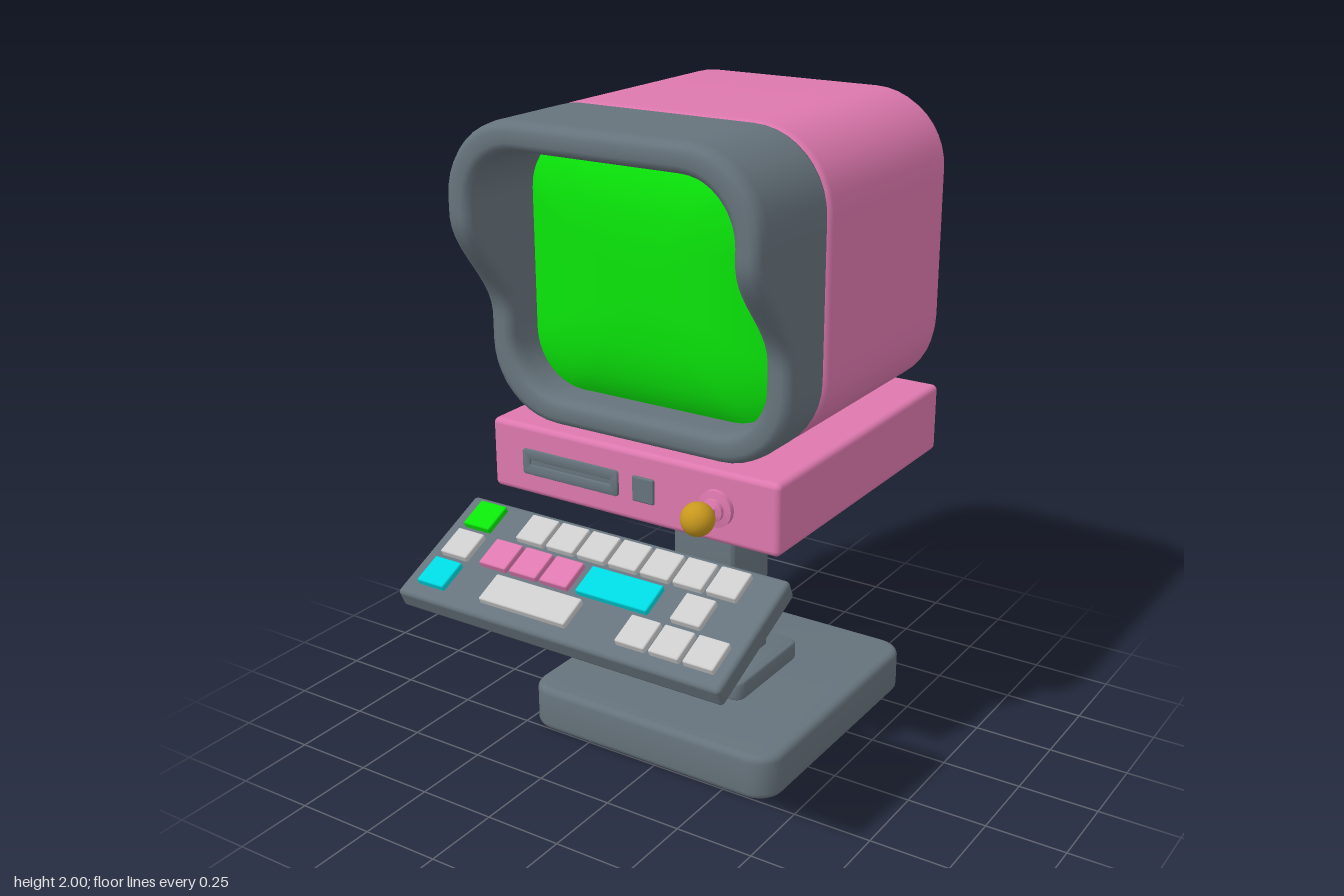
import * as THREE from 'three';
import { toCreasedNormals } from 'three/addons/utils/BufferGeometryUtils.js';
import { RoundedBoxGeometry } from 'three/addons/geometries/RoundedBoxGeometry.js';

const mat = (color) => new THREE.MeshStandardMaterial({ color });
const PINK = mat(0xdd78ae), GREY = mat(0x66737c), GREEN = mat(0x0ae60a);
const CYAN = mat(0x00d8e0), GOLD = mat(0xc8981e), KEY = mat(0xcccccc);
const CX = -0.03;                       // centre line of the machine
const HW = 0.513, HH = 0.463, CY = 1.537, R = 0.23; // casing half sizes, centre height, corner radius

// Evenly divided rounded rectangle, anticlockwise seen from the front
function loop(hw, hh, r, corner = 10, side = 16) {
  const pts = [];
  const centres = [[1, 1], [-1, 1], [-1, -1], [1, -1]];
  centres.forEach(([sx, sy], q) => {
    const arc = [];
    for (let i = 0; i <= corner; i++) {
      const a = (q + i / corner) * Math.PI / 2;
      arc.push(new THREE.Vector2(sx * (hw - r) + r * Math.cos(a), sy * (hh - r) + r * Math.sin(a)));
    }
    pts.push(...arc);
    const [nx, ny] = centres[(q + 1) % 4], a = (q + 1) * Math.PI / 2;
    const next = new THREE.Vector2(nx * (hw - r) + r * Math.cos(a), ny * (hh - r) + r * Math.sin(a));
    for (let i = 1; i < side; i++) pts.push(arc[corner].clone().lerp(next, i / side));
  });
  return pts;
}
const casingLoop = (inset) => loop(HW - inset, HH - inset, Math.max(R - inset * 0.75, 0.05));

// Skin over rings of equal point count
function loft(rings) {
  const n = rings[0].length, pos = [], idx = [];
  rings.forEach((ring) => ring.forEach((p) => pos.push(p.x, p.y, p.z)));
  for (let k = 0; k < rings.length - 1; k++) {
    for (let i = 0; i < n; i++) {
      const a = k * n + i, b = k * n + (i + 1) % n;
      idx.push(a, b, b + n, a, b + n, a + n);
    }
  }
  const g = new THREE.BufferGeometry();
  g.setAttribute('position', new THREE.Float32BufferAttribute(pos, 3));
  g.setIndex(idx);
  g.computeVertexNormals();
  return g;
}

function add(parent, name, geometry, material, x = 0, y = 0, z = 0) {
  const m = new THREE.Mesh(geometry, material);
  m.name = name;
  m.position.set(x, y, z);
  parent.add(m);
  return m;
}

// Extruded rounded rectangle with optional holes [x, y, w, h, r]
function plate(w, h, r, depth, bevel, holes = []) {
  const shape = new THREE.Shape(loop(w / 2 - bevel, h / 2 - bevel, r, 6, 1));
  holes.forEach(([x, y, hw, hh, hr]) => shape.holes.push(
    new THREE.Path(loop(hw / 2, hh / 2, hr, 5, 1).map((p) => new THREE.Vector2(p.x + x, p.y + y)).reverse())));
  const g = new THREE.ExtrudeGeometry(shape, {
    depth: depth - 2 * bevel, bevelEnabled: bevel > 0, bevelSize: bevel, bevelThickness: bevel, bevelSegments: 4,
  });
  g.translate(0, 0, bevel);
  return toCreasedNormals(g, 0.6);
}

function buildMonitor() {
  const g = new THREE.Group();
  g.name = 'monitor';
  g.position.set(CX, CY, 0);

  // Casing with domed back: [inset, z]
  const body = [[0.213, -0.73], [0.15, -0.717], [0.09, -0.695], [0.045, -0.668], [0.015, -0.64], [0, -0.6],
    [0, -0.3], [0, 0.08], [0.006, 0.095], [0.02, 0.102], [0.08, 0.102]];
  add(g, 'casing', loft(body.map(([inset, z]) =>
    casingLoop(inset).map((p) => new THREE.Vector3(p.x, p.y, z)))), PINK);

  // Back panel with three vent slots and their floor
  const slots = [0.19, 0.095, 0].map((y) => [0, y, 0.55, 0.055, 0.02]);
  add(g, 'ventPanel', plate(0.6, 0.5, 0.07, 0.03, 0, slots), PINK, 0, 0, -0.73);
  add(g, 'ventFloor', new THREE.BoxGeometry(0.57, 0.3, 0.01), PINK, 0, 0.095, -0.7);

  // Latches with a recessed middle
  for (const s of [-1, 1]) {
    add(g, 'latchFrame', plate(0.19, 0.13, 0.012, 0.1, 0.01, [[0, 0, 0.11, 0.06, 0.008]]), PINK,
      0.009 + s * 0.278, -0.162, -0.755);
    add(g, 'latchPlate', new THREE.BoxGeometry(0.15, 0.09, 0.05), PINK, 0.009 + s * 0.278, -0.162, -0.71);
  }

  // Hood: deep at the top, sweeping back to a shallow lower lip
  const front = (y) => 0.30 + 0.17 * THREE.MathUtils.smoothstep(y + CY, 1.385, 1.72);
  const outer = casingLoop(0);
  const hoodRing = (inset, zOf) => casingLoop(inset).map((p, i) => new THREE.Vector3(p.x, p.y, zOf(outer[i].y)));
  const rings = [[0.08, 0.106], [0.012, 0.106], [0.003, 0.112], [0, 0.125]].map(([i, z]) => hoodRing(i, () => z));
  [[0, 0.05], [0.003, 0.025], [0.012, 0.008], [0.028, 0], [0.058, 0], [0.074, 0.008], [0.082, 0.025], [0.085, 0.05]]
    .forEach(([i, d]) => rings.push(hoodRing(i, (y) => front(y) - d)));
  rings.push(hoodRing(0.085, () => 0.15));
  add(g, 'hood', loft(rings), GREY);

  // Bulging screen
  const glass = [1, 0.97, 0.93, 0.87, 0.78, 0.65, 0.5, 0.3, 0.12, 0.001];
  add(g, 'screen', loft(glass.map((s) => casingLoop(0.084).map((p) =>
    new THREE.Vector3(p.x * s, p.y * s, 0.175 + 0.07 * (1 - s ** 4))))), GREEN);
  return g;
}

function buildBase() {
  const g = new THREE.Group();
  g.name = 'base';
  add(g, 'consoleBox', new RoundedBoxGeometry(1, 0.22, 1.004, 3, 0.018), PINK, -0.034, 0.955, -0.188);

  // Disk drive and button on the console front
  add(g, 'driveFrame', plate(0.347, 0.08, 0.006, 0.025, 0.004, [[0, 0, 0.3, 0.024, 0.008]]), GREY, -0.244, 0.952, 0.297);
  add(g, 'driveSlotFloor', new THREE.BoxGeometry(0.32, 0.04, 0.01), GREY, -0.244, 0.952, 0.311);
  add(g, 'button', new RoundedBoxGeometry(0.074, 0.078, 0.03, 2, 0.005), GREY, 0.017, 0.952, 0.307);

  // Joystick: stepped collar, stalk and ball
  const profile = [[0, 0], [0.055, 0], [0.055, 0.018], [0.034, 0.022], [0.034, 0.034], [0.017, 0.04], [0.017, 0.09]];
  const collar = new THREE.LatheGeometry(profile.map((p) => new THREE.Vector2(...p)), 32);
  add(g, 'stickCollar', toCreasedNormals(collar, 0.6), PINK, 0.266, 0.955, 0.312).rotation.x = Math.PI / 2;
  add(g, 'stickBall', new THREE.SphereGeometry(0.049, 32, 20), GOLD, 0.266, 0.957, 0.415);

  // Stand
  const slab = (name, size, r, y0, y1, bevel) =>
    add(g, name, plate(size, size, r, y1 - y0, bevel), GREY, -0.032, y0, -0.19).rotation.x = -Math.PI / 2;
  slab('foot', 0.9, 0.06, 0, 0.147, 0.022);
  slab('plinth', 0.372, 0.02, 0.14, 0.207, 0.012);
  slab('post', 0.224, 0.012, 0.19, 0.86, 0.004);
  return g;
}

function buildKeyboard() {
  const g = new THREE.Group();
  g.name = 'keyboard';
  g.position.set(0, 0.72, 0.56);
  g.rotation.x = 0.433;
  add(g, 'keyboardTray', new RoundedBoxGeometry(1.098, 0.066, 0.405, 3, 0.014), GREY);

  // Key rows: [left edge, width, material]
  const W = 0.096, run = (x, n, m) => Array.from({ length: n }, (_, i) => [x + i * 0.109, W, m]);
  const rows = [
    [[-0.5, W, GREEN], ...run(-0.304, 7, KEY)],
    [[-0.5, W, KEY], ...run(-0.356, 3, PINK), [-0.012, 0.24, CYAN], [0.304, W, KEY]],
    [[-0.5, W, CYAN], [-0.272, 0.3, KEY], ...run(0.196, 3, KEY)],
  ];
  rows.forEach((row, r) => row.forEach(([x, w, m]) =>
    add(g, 'key', new RoundedBoxGeometry(w, 0.03, 0.098, 2, 0.005), m, x + w / 2, 0.037, -0.128 + r * 0.118)));
  return g;
}

export function createModel() {
  const model = new THREE.Group();
  model.name = 'retroTerminal';
  model.add(buildMonitor(), buildBase(), buildKeyboard());
  return model;
}
